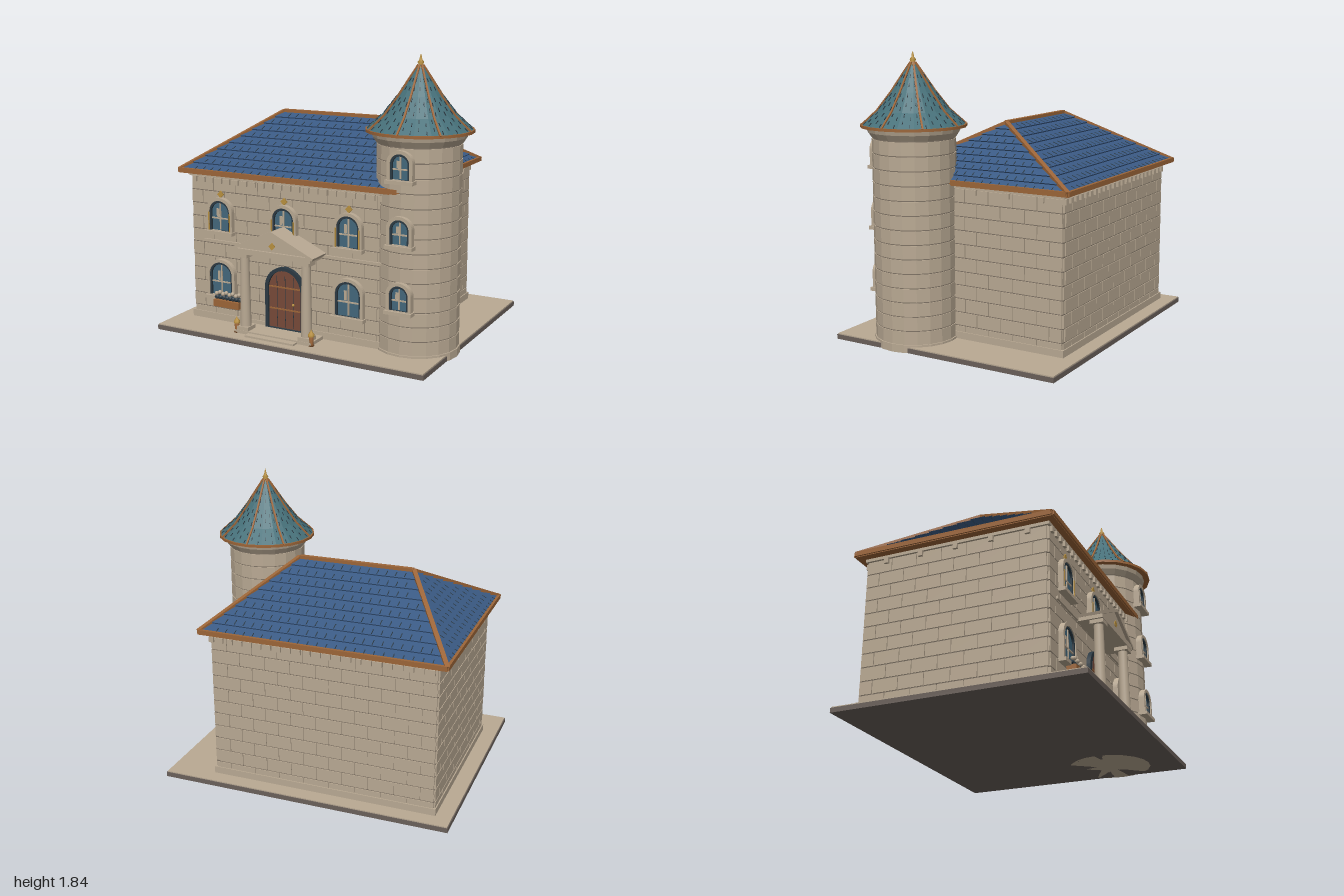
import * as THREE from 'three';
import { mergeGeometries } from 'three/addons/utils/BufferGeometryUtils.js';

const mat = (name, color) => {
  const m = new THREE.MeshStandardMaterial({ color });
  m.name = name;
  return m;
};
const V = (x, y, z) => new THREE.Vector3(x, y, z);

// Axis-aligned box given by its centre
const box = (w, h, d, x, y, z) => new THREE.BoxGeometry(w, h, d).translate(x, y, z);

// Rectangular bar running from a to b
function bar(a, b, w, h) {
  const m = new THREE.Matrix4().lookAt(a, b, V(0, 1, 0));
  m.setPosition(a.clone().add(b).multiplyScalar(0.5));
  return new THREE.BoxGeometry(w, h, a.distanceTo(b)).applyMatrix4(m);
}

function arch(w, h, rise, y0 = 0) {
  const s = new THREE.Shape();
  s.moveTo(-w / 2, y0);
  s.lineTo(w / 2, y0);
  s.lineTo(w / 2, h - rise);
  s.absellipse(0, h - rise, w / 2, rise, 0, Math.PI, false);
  s.closePath();
  return s;
}
const extrude = (s, depth) => new THREE.ExtrudeGeometry(s, { depth, bevelEnabled: false, curveSegments: 12 });
function archRing(w, h, rise, t, depth) {
  const s = arch(w, h, rise);
  s.holes.push(arch(w - 2 * t, h - t, rise - t * 0.5, 0.004));
  return extrude(s, depth);
}
const lathe = (pts, n, x, z) =>
  new THREE.LatheGeometry(pts.map(p => new THREE.Vector2(p[0], p[1])), n).translate(x, 0, z);

export function createModel() {
  const root = new THREE.Group();
  root.name = 'house';
  const stone = mat('stone', 0xb9a993), mortar = mat('mortar', 0x7f7365), slab = mat('darkSlab', 0x6a605a);
  const blue = mat('blueTile', 0x3a5a84), teal = mat('tealTile', 0x467079), copper = mat('copper', 0x9c6538);
  const gold = mat('gold', 0xb8903f), wood = mat('doorWood', 0x774a39), glass = mat('glass', 0x43687c);
  const iron = mat('darkIron', 0x2b3942);
  stone.flatShading = false;

  // Merge a list of geometries into one named mesh
  function add(name, material, geos, parent = root, flat = false) {
    const g = mergeGeometries(geos.map(q => {
      const n = q.index ? q.toNonIndexed() : q;
      n.deleteAttribute('uv');
      if (flat) n.computeVertexNormals();
      return n;
    }));
    const mesh = new THREE.Mesh(g, material);
    mesh.name = name;
    parent.add(mesh);
    return mesh;
  }

  // Ground slab
  add('slab', slab, [box(1.905, 0.03, 1.575, -0.0475, 0.015, -0.0025)]);
  add('paving', stone, [box(1.895, 0.008, 1.565, -0.0475, 0.033, -0.0025)]);

  // House body with running-bond blocks
  const X0 = -0.88, X1 = 0.585, Z0 = -0.675, Z1 = 0.52, Y0 = 0.035, course = 0.0875, cx = (X0 + X1) / 2, cz = (Z0 + Z1) / 2;
  const W = X1 - X0, D = Z1 - Z0;
  add('walls', stone, [box(W, 0.98, D, cx, 0.525, cz)]);
  const blocks = [], seams = [];
  for (let r = 0; r < 11; r++) {
    const y = Y0 + course * (r + 0.5);
    if (r) seams.push(box(W + 0.006, 0.007, D + 0.006, cx, Y0 + course * r, cz));
    for (const [len, alongX] of [[W, true], [D, false]]) {
      for (let s = r % 2 ? -0.085 : 0; s < len; s += 0.17) {
        const a = Math.max(s, 0), b = Math.min(s + 0.17, len);
        if (b - a < 0.02) continue;
        const l = b - a - 0.006, m = (a + b) / 2, h = course - 0.007;
        for (const side of [0, 1]) {
          blocks.push(alongX ? box(l, h, 0.012, X0 + m, y, side ? Z1 + 0.002 : Z0 - 0.002)
            : box(0.012, h, l, side ? X1 + 0.002 : X0 - 0.002, y, Z0 + m));
        }
      }
    }
  }
  add('wallBlocks', stone, blocks);
  add('mortarSeams', mortar, seams);

  // Plinth, cornice, belt course and dentils
  const trims = [box(W + 0.03, 0.045, D + 0.03, cx, 0.06, cz), box(W + 0.03, 0.02, D + 0.03, cx, 1.01, cz),
    box(1.3, 0.018, 0.04, -0.135, 0.577, Z1)];
  for (let x = X0 + 0.03; x < X1; x += 0.065)
    for (const z of [Z0 - 0.012, Z1 + 0.012]) trims.push(box(0.03, 0.035, 0.025, x, 0.982, z));
  for (let z = -0.54; z < 0.5; z += 0.235)
    for (const x of [X0 - 0.012, X1 + 0.012]) trims.push(box(0.025, 0.035, 0.03, x, 0.982, z));
  add('stoneTrim', stone, trims);

  // Hipped roof: overlapping tile courses with dark joints
  const E = [V(-0.945, 1.04, 0.575), V(0.645, 1.04, 0.575), V(0.645, 1.04, -0.735), V(-0.945, 1.04, -0.735)];
  const RL = V(-0.535, 1.375, -0.08), RR = V(0.235, 1.375, -0.08), T = [RL, RR, RR, RL];
  const pos = [], joints = [], rows = 9;
  for (let i = 0; i < 4; i++) {
    const A = E[i], B = E[(i + 1) % 4], C = T[i], F = T[(i + 1) % 4];
    const L = A.distanceTo(B), e = B.clone().sub(A).divideScalar(L), ca = C.clone().sub(A);
    const left = ca.dot(e), right = F.clone().sub(B).dot(e), up = ca.clone().addScaledVector(e, -left);
    const n = e.clone().cross(up).normalize();
    const at = (s, t, k) => A.clone().addScaledVector(e, s).addScaledVector(up, t).addScaledVector(n, k);
    for (let r = 0; r < rows; r++) {
      const t0 = r / rows, t1 = (r + 1) / rows;
      const l0 = at(left * t0, t0, 0.009), r0 = at(L + right * t0, t0, 0.009);
      const l1 = at(left * t1, t1, 0), r1 = at(L + right * t1, t1, 0);
      const lb = at(left * t0, t0, 0), rb = at(L + right * t0, t0, 0);
      for (const p of [l0, r0, r1, l0, r1, l1, lb, rb, r0, lb, r0, l0]) pos.push(p.x, p.y, p.z);
      for (let s = r % 2 ? 0.03 : 0.06; s < L; s += 0.06) {
        if (s < left * t1 + 0.02 || s > L + right * t1 - 0.02) continue;
        joints.push(bar(at(s, t0 + 0.01, 0.008), at(s, t0 + 0.065, 0.004), 0.005, 0.004));
      }
    }
  }
  const roof = new THREE.BufferGeometry();
  roof.setAttribute('position', new THREE.Float32BufferAttribute(pos, 3));
  roof.computeVertexNormals();
  add('mainRoof', blue, [roof]);
  add('roofJoints', iron, joints);
  const edges = [box(1.59, 0.02, 1.31, -0.15, 1.03, -0.08), bar(RL, RR, 0.03, 0.03)];
  E.forEach((p, i) => edges.push(bar(p, E[(i + 1) % 4], 0.02, 0.03), bar(p, T[i], 0.028, 0.028)));
  add('roofEdging', copper, edges);

  // Corner tower
  const tx = 0.66, tz = 0.33, N = 20;
  const drum = (r0, r1, y0, y1) => new THREE.CylinderGeometry(r1, r0, y1 - y0, N).translate(tx, (y0 + y1) / 2, tz);
  const drums = [drum(0.268, 0.268, 0.0, 0.05), drum(0.262, 0.285, 1.31, 1.345), drum(0.285, 0.295, 1.345, 1.385)];
  const grooves = [];
  for (let y = 0.05; y < 1.3; y += 0.09) {
    drums.push(drum(0.26, 0.26, y, Math.min(y + 0.083, 1.32)));
    grooves.push(drum(0.255, 0.255, y + 0.08, y + 0.094));
  }
  add('towerDrum', stone, drums, root, true);
  add('towerSeams', mortar, grooves, root, true);
  const prof = [[0.325, 1.385], [0.225, 1.475], [0.135, 1.59], [0.06, 1.7], [0.015, 1.765]];
  add('towerRoof', teal, [lathe(prof, N, tx, tz)], root, true);
  add('towerSoffit', copper, [drum(0.33, 0.33, 1.373, 1.39)]);
  const ribs = [], dashes = [];
  const polar = (a, p, k = 0) => V(tx + Math.sin(a) * p[0], p[1] + k, tz + Math.cos(a) * p[0]);
  for (let i = 0; i < 8; i++)
    for (let j = 0; j < 4; j++) ribs.push(bar(polar(i * Math.PI / 4, prof[j]), polar(i * Math.PI / 4, prof[j + 1]), 0.011, 0.014));
  for (let i = 0; i < 40; i++) {
    const a = (i + 0.5) * Math.PI / 20;
    for (let j = 0; j < 3; j++) {
      if (j === 2 && i % 2) continue;
      const mix = t => prof[j].map((v, k) => v + (prof[j + 1][k] - v) * t);
      for (const t of i % 2 ? [0.1, 0.55] : [0.3, 0.75]) dashes.push(bar(polar(a, mix(t), 0.001), polar(a, mix(t + 0.18), 0.001), 0.004, 0.004));
    }
  }
  add('towerRibs', copper, ribs);
  add('towerTileJoints', iron, dashes);
  add('finial', gold, [lathe([[0.022, 1.735], [0.024, 1.755], [0.012, 1.765], [0.02, 1.783], [0.009, 1.797], [0.006, 1.815], [0, 1.835]], 12, tx, tz)]);

  // Arched windows
  const diamond = (x, y, z) => new THREE.CylinderGeometry(0.024, 0.024, 0.009, 4).rotateX(Math.PI / 2).translate(x, y, z);
  function makeWindow(name, x, y, z, w, h, gilded) {
    const g = new THREE.Group();
    g.name = name;
    g.position.set(x, y, z);
    const rise = w * 0.42;
    add('surround', stone, [archRing(w + 0.04, h + 0.022, rise + 0.02, 0.02, 0.055),
      box(w + 0.055, 0.022, 0.07, 0, -0.01, 0.035)], g);
    add('frame', iron, [archRing(w, h, rise, 0.013, 0.048)], g);
    add('pane', glass, [extrude(arch(w - 0.01, h - 0.005, rise), 0.035)], g);
    add('mullions', stone, [box(0.009, h - 0.02, 0.008, 0, h / 2, 0.038), box(w - 0.02, 0.009, 0.008, 0, h * 0.42, 0.038),
      box(0.02, h * 0.28, 0.003, -w * 0.13, h * 0.6, 0.036)], g);
    if (gilded) {
      add('gilding', gold, [-1, 1].map(s => box(0.007, h * 0.6, 0.006, s * (w / 2 + 0.003), h * 0.32, 0.055))
        .concat(diamond(0, h + 0.042, 0.032)), g);
    }
    root.add(g);
  }
  for (const x of [-0.65, -0.17, 0.29]) makeWindow('upperWindow', x, 0.653, 0.505, 0.155, 0.2, true);
  for (const x of [-0.65, 0.29]) makeWindow('lowerWindow', x, 0.215, 0.505, 0.175, 0.225, false);
  for (const y of [0.325, 0.727, 1.117]) makeWindow('towerWindow', tx, y, 0.56, 0.125, 0.155, false);

  // Front door
  const px = -0.167;
  add('doorFrame', iron, [archRing(0.285, 0.41, 0.14, 0.022, 0.05).translate(px, 0.06, 0.505)]);
  add('door', wood, [extrude(arch(0.25, 0.395, 0.125), 0.035).translate(px, 0.06, 0.505)]);
  add('doorStraps', copper, [0.19, 0.335].map(y => box(0.235, 0.009, 0.006, px, y, 0.542)));
  add('doorPlankLines', iron, [-0.06, 0, 0.06].map(x => box(0.003, 0.34, 0.003, px + x, 0.24, 0.54)));
  add('doorKnob', gold, [new THREE.SphereGeometry(0.009, 10, 8).translate(-0.105, 0.23, 0.547)]);

  // Portico
  const ax = -0.175, cols = [];
  for (const x of [ax - 0.225, ax + 0.225]) {
    cols.push(box(0.085, 0.025, 0.085, x, 0.07, 0.645), box(0.085, 0.025, 0.085, x, 0.553, 0.645),
      new THREE.CylinderGeometry(0.029, 0.036, 0.46, 16).translate(x, 0.312, 0.645));
  }
  add('columns', stone, cols);
  const gable = new THREE.Shape();
  gable.moveTo(-0.27, 0.595);
  gable.lineTo(0.27, 0.595);
  gable.lineTo(0, 0.715);
  gable.closePath();
  const pediment = [extrude(gable, 0.155).translate(ax, 0, 0.52), box(0.56, 0.035, 0.17, ax, 0.582, 0.605)];
  for (const s of [-1, 1]) pediment.push(bar(V(ax + s * 0.297, 0.59, 0.607), V(ax, 0.725, 0.607), 0.175, 0.018));
  add('pediment', stone, pediment);
  add('pedimentDiamond', gold, [diamond(ax, 0.637, 0.677)]);
  add('steps', stone, [box(0.56, 0.022, 0.17, ax, 0.047, 0.605), box(0.36, 0.012, 0.05, ax, 0.043, 0.71)]);

  // Lanterns beside the columns
  for (const x of [ax - 0.275, ax + 0.275]) {
    add('lanternBody', copper, [lathe([[0, 0.037], [0.02, 0.037], [0.013, 0.05], [0.016, 0.1], [0, 0.1]], 8, x, 0.675)]);
    add('lanternCap', gold, [lathe([[0.02, 0.098], [0.02, 0.112], [0.006, 0.13], [0, 0.145]], 8, x, 0.675)]);
  }

  // Flower box under the lower left window
  add('flowerBox', copper, [box(0.195, 0.045, 0.06, -0.583, 0.178, 0.572)]);
  const leaves = [], blooms = [];
  for (let i = 0; i < 8; i++) {
    const x = -0.67 + i * 0.025;
    leaves.push(new THREE.IcosahedronGeometry(0.019, 0).translate(x, 0.213, 0.572));
    blooms.push(new THREE.IcosahedronGeometry(0.014, 1).translate(x, 0.238 + (i % 2) * 0.01, 0.578));
  }
  add('leaves', iron, leaves);
  add('blooms', stone, blooms);
  return root;
}
